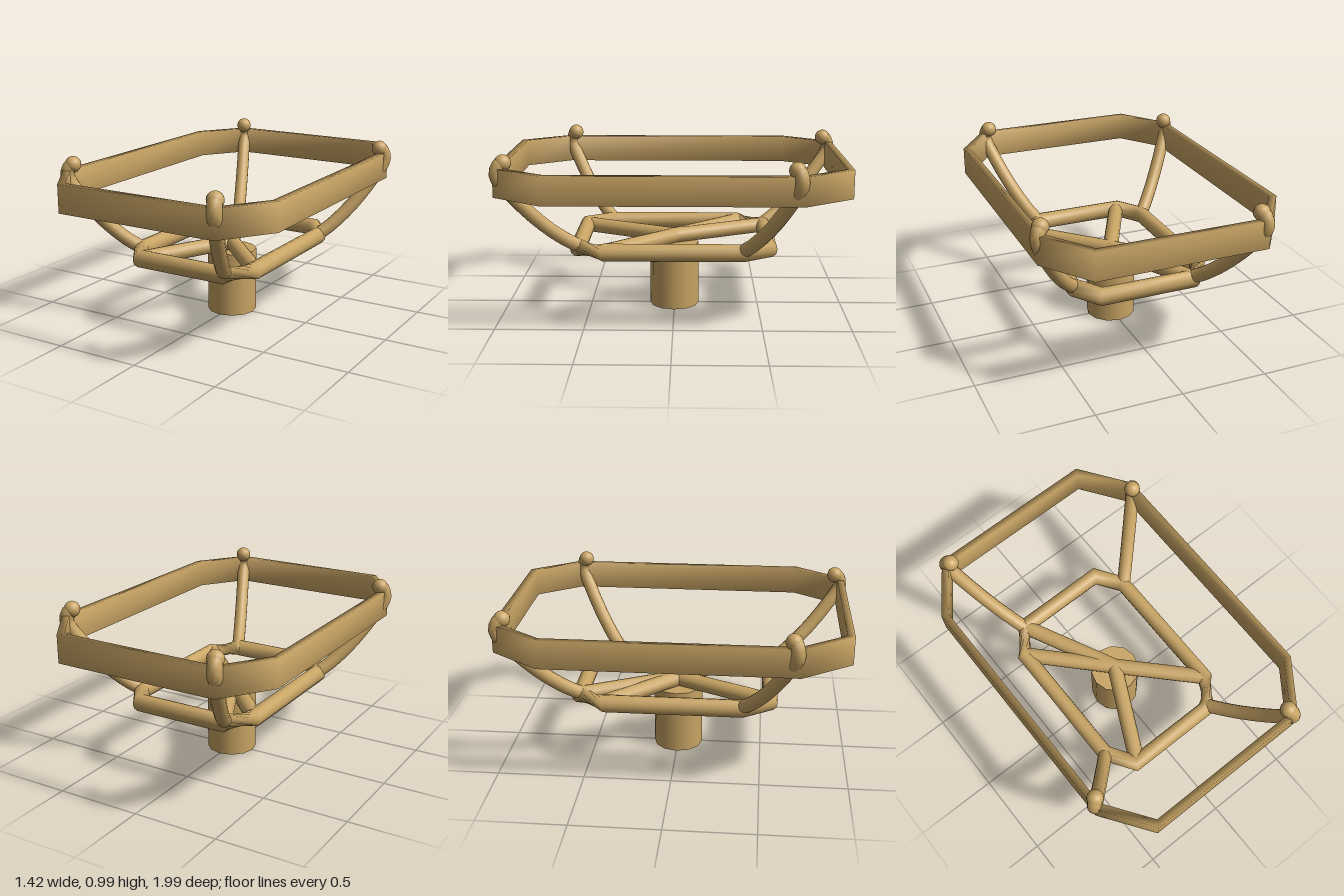
import * as THREE from 'three';

const material = new THREE.MeshStandardMaterial({ color: 0xc8a464, side: THREE.DoubleSide });

// Corners of an eight-sided loop: (x1, z1) on the long sides, (x2, z2) on the short ends
const octagon = (x1, z1, x2, z2) => [
  [x1, -z1], [x1, z1], [x2, z2], [-x2, z2], [-x1, z1], [-x1, -z1], [-x2, -z2], [x2, -z2],
];

// Mitred sweep of a profile (outward, up) round a closed loop.
// twists maps a segment index to a number of profile steps it is turned by.
function sweepLoop(corners, profile, y, twists = {}) {
  const n = corners.length, m = profile.length;
  const normal = (a, b) => new THREE.Vector2(b[1] - a[1], a[0] - b[0]).normalize();
  const pos = [], index = [];
  corners.forEach((c, i) => {
    const n1 = normal(corners[(i + n - 1) % n], c);
    const n2 = normal(c, corners[(i + 1) % n]);
    const mitre = n1.clone().add(n2).divideScalar(1 + n1.dot(n2));
    for (const [a, b] of profile) pos.push(c[0] + mitre.x * a, y + b, c[1] + mitre.y * a);
    const next = ((i + 1) % n) * m, turn = twists[i] || 0;
    for (let j = 0; j < m; j++) {
      const k = (j + 1) % m;
      const A = i * m + j, B = i * m + k;
      const C = next + (j + turn) % m, D = next + (k + turn) % m;
      index.push(A, B, C, B, D, C);
    }
  });
  const g = new THREE.BufferGeometry();
  g.setAttribute('position', new THREE.Float32BufferAttribute(pos, 3));
  g.setIndex(index);
  g.computeVertexNormals();
  return g;
}

export function createModel() {
  const model = new THREE.Group();
  const add = (name, geometry, parent = model) => {
    const mesh = new THREE.Mesh(geometry, material);
    mesh.name = name;
    parent.add(mesh);
    return mesh;
  };

  // Central post
  add('post', new THREE.CylinderGeometry(0.145, 0.145, 0.38, 12)).position.y = 0.19;

  // Lower ring of round bars, with two opposite corners wrung thin
  const round = [];
  for (let i = 0; i < 12; i++) {
    const a = (i / 12) * Math.PI * 2;
    round.push([Math.cos(a) * 0.045, Math.sin(a) * 0.052]);
  }
  add('lowerRing', sweepLoop(octagon(0.38, 0.39, 0.275, 0.545), round, 0.416, { 1: 4, 5: 4 }));

  // Spokes from the post to the lower ring
  const spokes = new THREE.Group();
  spokes.name = 'spokes';
  model.add(spokes);
  for (const [x, z] of [[-0.27, -0.54], [-0.37, -0.385], [-0.265, 0.54], [0.375, 0.385]]) {
    const g = new THREE.CylinderGeometry(0.046, 0.046, Math.hypot(x, z), 12);
    g.rotateX(Math.PI / 2);
    const spoke = add('spoke', g, spokes);
    spoke.position.set(x / 2, 0.418, z / 2);
    spoke.rotation.y = Math.atan2(x, z);
  }

  // Upper rail, a tall thin band
  const band = [[0.02, -0.08], [0.02, 0.08], [-0.02, 0.08], [-0.02, -0.08]];
  add('upperRail', sweepLoop(octagon(0.665, 0.69, 0.475, 0.957), band, 0.832));

  // Curved arms rising from the ring and hooking over the rail
  const rise = [[0, 0.42], [0.21, 0.48], [0.5, 0.59], [0.82, 0.75], [1, 0.87], [0.97, 0.925], [0.92, 0.94]];
  const arms = [
    [0.27, 0.53, 0.475, 0.955], [-0.27, -0.53, -0.475, -0.955],
    [0.375, -0.385, 0.673, -0.675], [-0.375, 0.385, -0.673, 0.675],
  ];
  for (const [x0, z0, x1, z1] of arms) {
    const arm = new THREE.Group();
    arm.name = 'arm';
    model.add(arm);
    const points = rise.map(([f, y]) => new THREE.Vector3(x0 + (x1 - x0) * f, y, z0 + (z1 - z0) * f));
    add('armBar', new THREE.TubeGeometry(new THREE.CatmullRomCurve3(points), 28, 0.04, 12), arm);
    add('armFoot', new THREE.SphereGeometry(0.04, 14, 10), arm).position.copy(points[0]);
    add('armTip', new THREE.SphereGeometry(0.046, 16, 12), arm).position.copy(points[points.length - 1]);
  }
  return model;
}
